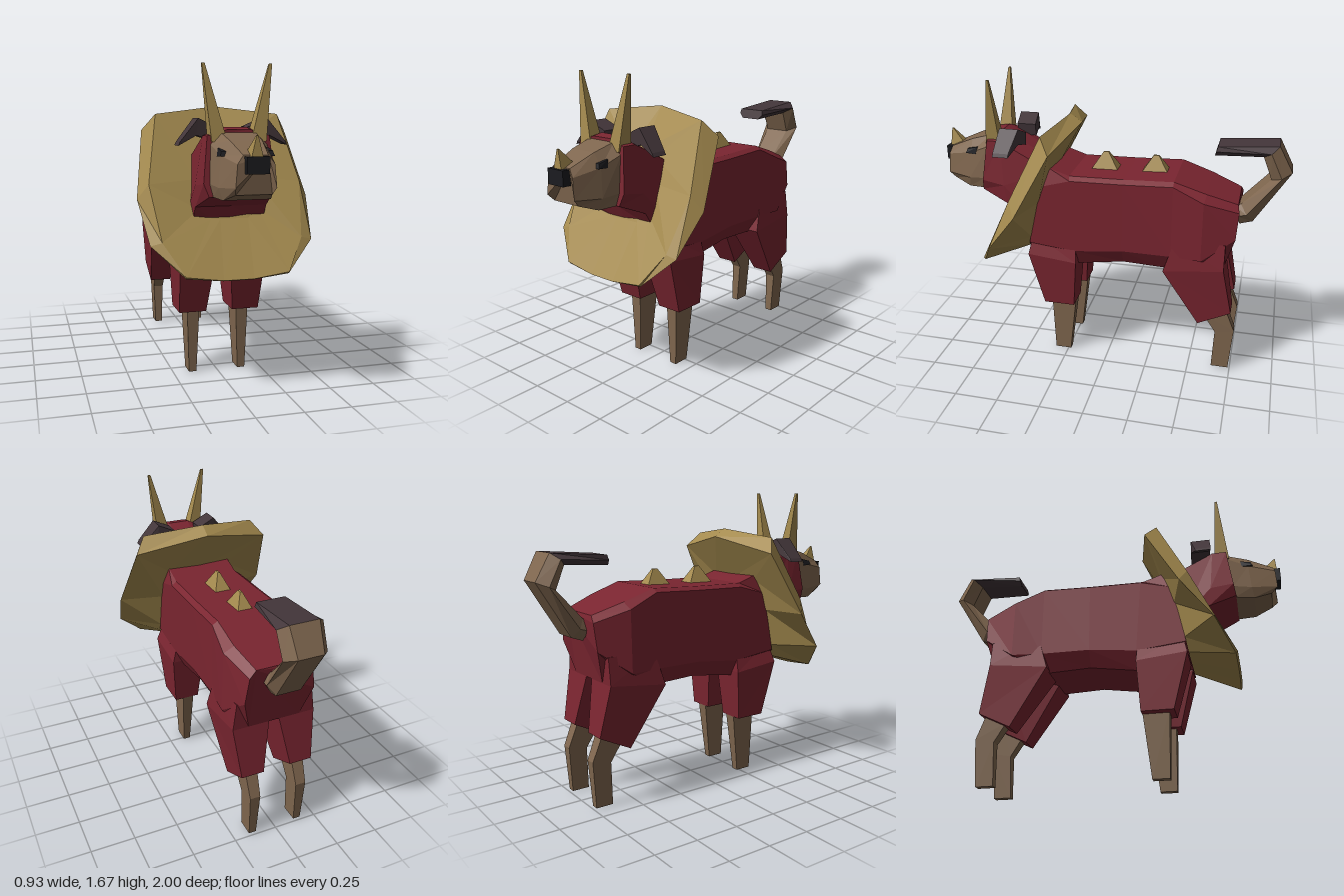
import * as THREE from 'three';

const paint = (color) => new THREE.MeshStandardMaterial({ color, flatShading: true });
const red = paint(0x7a2530), gold = paint(0xa58b4f), brown = paint(0x80674f);
const dark = paint(0x43363a), black = paint(0x1c1c20);

// Closed skin through rings of equal point count, always facing outward
function loft(rings) {
  const tris = [], n = rings[0].length;
  for (let r = 0; r < rings.length - 1; r++) {
    for (let i = 0; i < n; i++) {
      const j = (i + 1) % n, a = rings[r], b = rings[r + 1];
      tris.push([a[i], a[j], b[j]], [a[i], b[j], b[i]]);
    }
  }
  const first = rings[0], last = rings[rings.length - 1];
  for (let i = 1; i < n - 1; i++) {
    tris.push([first[0], first[i + 1], first[i]], [last[0], last[i], last[i + 1]]);
  }
  let volume = 0;
  for (const [a, b, c] of tris) {
    volume += a[0] * (b[1] * c[2] - b[2] * c[1]) + a[1] * (b[2] * c[0] - b[0] * c[2]) + a[2] * (b[0] * c[1] - b[1] * c[0]);
  }
  if (volume < 0) tris.forEach((t) => t.reverse());
  const geo = new THREE.BufferGeometry();
  geo.setAttribute('position', new THREE.Float32BufferAttribute(tris.flat(2), 3));
  geo.computeVertexNormals();
  return geo;
}

// Half ring (top to bottom, x >= 0) completed by its mirror image
const sym = (half) => [...half, ...half.filter((p) => p[0] > 0).reverse().map(([x, y, z]) => [-x, y, z])];

// Four-sided limb section: x range, then front and back edge as (z, y)
const section = (x0, x1, zf, yf, zb, yb) => [[x0, yf, zf], [x1, yf, zf], [x1, yb, zb], [x0, yb, zb]];

export function createModel() {
  const model = new THREE.Group();

  const add = (name, rings, material) => {
    const mesh = new THREE.Mesh(loft(rings), material);
    mesh.name = name;
    model.add(mesh);
  };
  const addSym = (name, halves, material) => add(name, halves.map(sym), material);
  const addPair = (name, rings, material) => {
    add('left' + name, rings, material);
    add('right' + name, rings.map((ring) => ring.map(([x, y, z]) => [-x, y, z])), material);
  };

  // Body, chest to rump
  addSym('body', [
    [[0.19, 1.21, 0.33], [0.22, 1.1, 0.38], [0.22, 0.75, 0.45], [0.17, 0.69, 0.46]],
    [[0.19, 1.17, 0.21], [0.22, 1.15, 0.2], [0.22, 0.72, 0.17], [0.17, 0.62, 0.17]],
    [[0.19, 1.175, -0.1], [0.22, 1.155, -0.1], [0.22, 0.75, -0.1], [0.17, 0.66, -0.1]],
    [[0.19, 1.185, -0.38], [0.22, 1.165, -0.38], [0.225, 0.75, -0.38], [0.17, 0.65, -0.34]],
    [[0.18, 1.125, -0.56], [0.235, 1.09, -0.55], [0.245, 0.75, -0.55], [0.16, 0.72, -0.55]],
    [[0.14, 1.065, -0.73], [0.18, 1.03, -0.74], [0.2, 0.88, -0.73], [0.15, 0.7, -0.68]],
  ], red);

  // Neck
  addSym('neck', [
    [[0.06, 1.21, 0.33], [0.17, 1.18, 0.33], [0.2, 0.92, 0.45], [0.19, 0.87, 0.52], [0, 0.83, 0.52]],
    [[0.06, 1.37, 0.64], [0.16, 1.33, 0.62], [0.195, 1.08, 0.6], [0.19, 0.97, 0.585], [0, 0.97, 0.585]],
    [[0.06, 1.36, 0.7], [0.16, 1.33, 0.7], [0.185, 1.1, 0.73], [0.16, 1.035, 0.74], [0, 1.035, 0.74]],
  ], red);

  // Mane collar: inner front, front rim, back rim, inner back
  addSym('mane', [
    [[0, 1.25, 0.4], [0.1, 1.23, 0.41], [0.16, 1.1, 0.47], [0.16, 0.95, 0.53], [0.1, 0.9, 0.56], [0, 0.9, 0.56]],
    [[0, 1.475, 0.25], [0.34, 1.435, 0.32], [0.41, 1.08, 0.49], [0.37, 0.8, 0.63], [0.27, 0.64, 0.725], [0.08, 0.615, 0.73]].concat([]),
    [[0, 1.43, 0.18], [0.405, 1.35, 0.26], [0.465, 1.0, 0.45], [0.43, 0.785, 0.62], [0.27, 0.63, 0.715], [0.08, 0.61, 0.72]],
    [[0, 1.18, 0.32], [0.18, 1.18, 0.33], [0.21, 1.0, 0.39], [0.21, 0.78, 0.44], [0.16, 0.71, 0.45], [0.05, 0.7, 0.45]],
  ].map((half, i) => (i === 0 ? [...half.slice(0, 5), [0.05, 0.9, 0.56]] : half)), gold);

  // Head, muzzle and nose
  addSym('head', [
    [[0.09, 1.345, 0.7], [0.145, 1.29, 0.7], [0.155, 1.1, 0.73], [0.14, 1.035, 0.735]],
    [[0.08, 1.31, 0.82], [0.125, 1.24, 0.82], [0.14, 1.09, 0.83], [0.12, 1.03, 0.84]],
    [[0.06, 1.25, 0.96], [0.09, 1.21, 0.97], [0.1, 1.1, 0.975], [0.09, 1.065, 0.94]],
  ], brown);
  const nose = new THREE.Mesh(new THREE.BoxGeometry(0.11, 0.08, 0.06), black);
  nose.name = 'nose';
  nose.position.set(0, 1.205, 0.97);
  model.add(nose);

  // Eyes with a dark lid
  addPair('Eye', [
    section(0.1, 0.136, 1 - 0.155, 1.238, 0.785, 1.235),
    section(0.095, 0.128, 1 - 0.165, 1.262, 0.775, 1.275),
  ], black);

  // Horns
  addPair('Horn', [
    section(0.06, 0.14, 0.715, 1.3, 0.63, 1.3),
    section(0.165, 0.18, 0.67, 1.68, 0.658, 1.68),
  ], gold);
  add('noseHorn', [
    section(-0.03, 0.03, 0.985, 1.235, 0.89, 1.25),
    section(-0.004, 0.004, 0.98, 1.34, 0.972, 1.34),
  ], gold);

  // Drooping ears
  const earSlice = (x, yTop, yLow, zf, zb) => [[x, yTop, zf], [x, yTop, zb], [x + 0.01, yLow, zb], [x + 0.01, yLow, zf]];
  addPair('Ear', [
    earSlice(0.08, 1.37, 1.3, 0.6, 0.49),
    earSlice(0.18, 1.415, 1.33, 0.61, 0.5),
    earSlice(0.275, 1.3, 1.28, 0.62, 0.53),
  ], dark);

  // Legs
  addPair('FrontThigh', [
    section(0.06, 0.2, 0.43, 0.8, 0.18, 0.8),
    section(0.04, 0.24, 0.455, 0.68, 0.17, 0.65),
    section(0.075, 0.225, 0.37, 0.36, 0.19, 0.36),
  ], red);
  addPair('FrontShin', [
    section(0.105, 0.175, 0.34, 0.38, 0.19, 0.38),
    section(0.12, 0.162, 0.33, 0.005, 0.235, 0.005),
  ], brown);
  addPair('RearThigh', [
    section(0.04, 0.22, -0.4, 0.85, -0.68, 0.85),
    section(0.03, 0.24, -0.34, 0.66, -0.68, 0.7),
    section(0.08, 0.21, -0.55, 0.33, -0.735, 0.42),
  ], red);
  addPair('RearShin', [
    section(0.105, 0.175, -0.58, 0.37, -0.7, 0.43),
    section(0.11, 0.17, -0.65, 0.26, -0.76, 0.28),
    section(0.12, 0.162, -0.64, 0.015, -0.74, 0.015),
  ], brown);

  // Hooked tail: hexagonal slices between an inner and an outer (z, y) point
  const tailSlice = (zi, yi, zo, yo, wi, wm, wo) => [
    [wi, yi, zi], [wm, (yi + yo) / 2, (zi + zo) / 2], [wo, yo, zo],
    [-wo, yo, zo], [-wm, (yi + yo) / 2, (zi + zo) / 2], [-wi, yi, zi],
  ];
  const bend = tailSlice(-0.84, 1.325, -0.92, 1.39, 0.075, 0.125, 0.08);
  add('tail', [
    tailSlice(-0.7, 1.03, -0.74, 0.92, 0.06, 0.09, 0.06),
    tailSlice(-0.74, 1.04, -0.81, 0.945, 0.065, 0.105, 0.07),
    tailSlice(-0.89, 1.2, -0.998, 1.245, 0.075, 0.12, 0.07),
    bend,
  ], brown);
  add('tailTip', [bend, tailSlice(-0.58, 1.31, -0.595, 1.365, 0.06, 0.085, 0.08)], dark);

  // Back spikes
  for (const z of [0.04, -0.25]) {
    add('backSpike', [
      section(-0.05, 0.05, z + 0.08, 1.165, z - 0.08, 1.165),
      section(-0.006, 0.006, z + 0.015, 1.265, z - 0.015, 1.265),
    ], gold);
  }
  return model;
}
